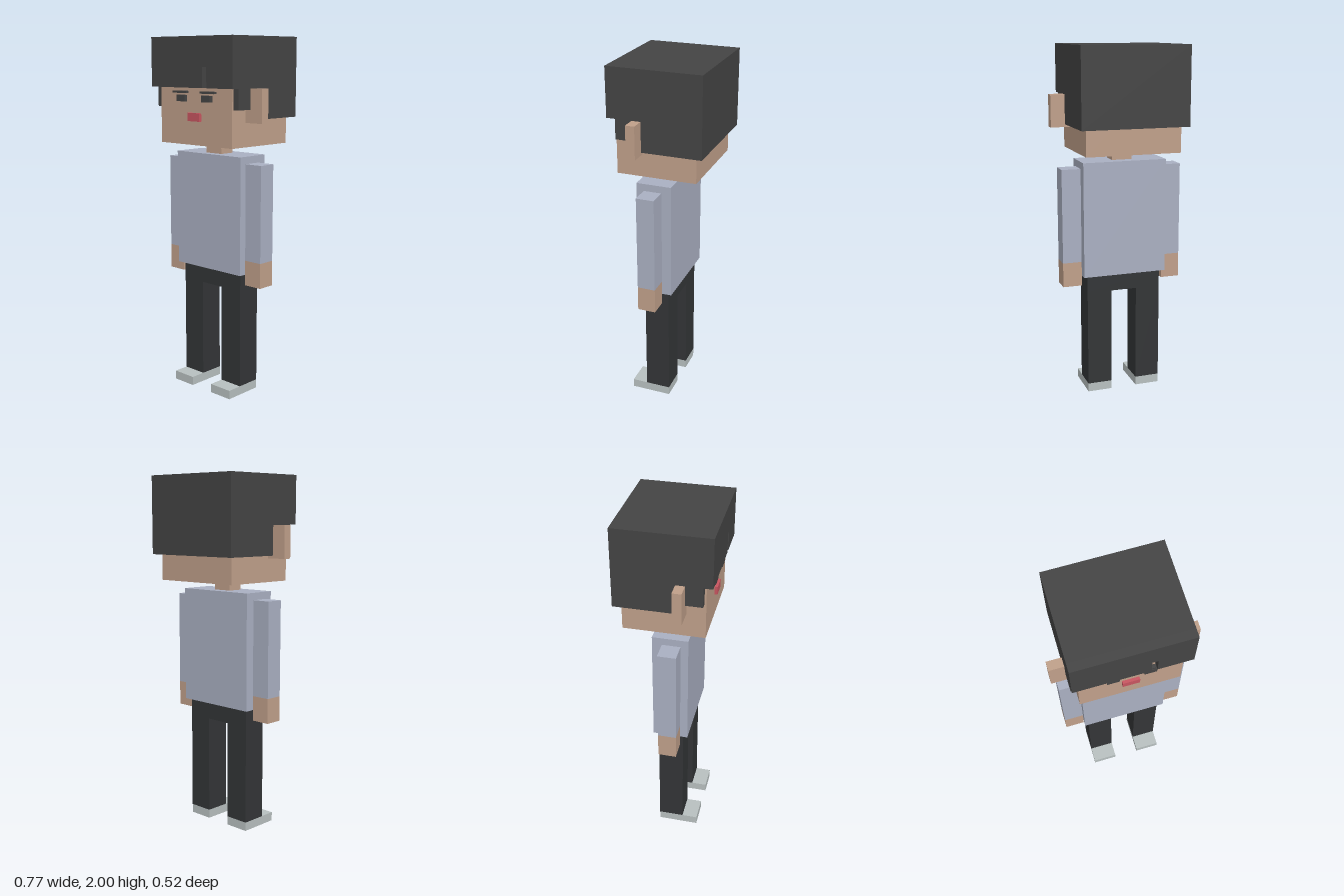
import * as THREE from 'three';

const mat = (color) => new THREE.MeshStandardMaterial({ color, flatShading: true });

export function createModel() {
  const model = new THREE.Group();
  const skin = mat(0xc0a08a), hair = mat(0x444444), shirt = mat(0xaab0c2);
  const trousers = mat(0x333537), shoe = mat(0xb8c0c0), lips = mat(0xc85560);

  const add = (name, geometry, material) => {
    const mesh = new THREE.Mesh(geometry, material);
    mesh.name = name;
    model.add(mesh);
  };
  // Box given by its extents on each axis
  const box = (name, material, [x0, x1], [y0, y1], [z0, z1]) => {
    const g = new THREE.BoxGeometry(x1 - x0, y1 - y0, z1 - z0);
    g.translate((x0 + x1) / 2, (y0 + y1) / 2, (z0 + z1) / 2);
    add(name, g, material);
  };
  // The same box on both sides of the body
  const pair = (name, material, [x0, x1], y, z) => {
    box('left' + name, material, [x0, x1], y, z);
    box('right' + name, material, [-x1, -x0], y, z);
  };
  const extrude = (points, depth) => new THREE.ExtrudeGeometry(
    new THREE.Shape(points.map(([x, y]) => new THREE.Vector2(x, y))),
    { depth, bevelEnabled: false });

  // Head and neck
  box('head', skin, [-0.27, 0.27], [1.42, 1.95], [-0.22, 0.222]);
  box('neck', skin, [-0.057, 0.057], [1.365, 1.42], [-0.01, 0.08]);
  pair('Ear', skin, [0.27, 0.385], [1.55, 1.73], [0.07, 0.12]);

  // Face
  pair('Eye', hair, [0.063, 0.127], [1.655, 1.69], [0.222, 0.242]);
  pair('Eyebrow', hair, [0.053, 0.157], [1.7, 1.712], [0.222, 0.242]);
  box('mouth', lips, [-0.046, 0.044], [1.55, 1.595], [0.222, 0.238]);

  // Hair: stepped side outline (with sideburns) extruded across the head
  const crown = extrude([[0.26, 2], [-0.212, 2], [-0.212, 1.62],
    [-0.07, 1.62], [-0.07, 1.565], [0.26, 1.565]], 0.61);
  crown.rotateY(Math.PI / 2).translate(-0.305, 0, 0);
  add('hairCrown', crown, hair);

  // Fringe with a narrow parting
  const fringe = extrude([[-0.305, 1.73], [0.09, 1.73], [0.09, 1.84], [0.12, 1.84],
    [0.12, 1.73], [0.305, 1.73], [0.305, 2], [-0.305, 2]], 0.048);
  fringe.translate(0, 0, 0.212);
  add('hairFringe', fringe, hair);

  // Torso and arms
  box('torso', shirt, [-0.243, 0.243], [0.71, 1.365], [-0.07, 0.127]);
  pair('Sleeve', shirt, [0.243, 0.352], [0.79, 1.325], [-0.016, 0.085]);
  pair('Hand', skin, [0.243, 0.352], [0.65, 0.79], [-0.016, 0.085]);

  // Hips, legs and shoes
  box('hips', trousers, [-0.218, 0.218], [0.61, 0.71], [-0.045, 0.097]);
  pair('Leg', trousers, [0.075, 0.218], [0.05, 0.61], [-0.045, 0.097]);
  pair('Shoe', shoe, [0.075, 0.218], [0, 0.05], [-0.045, 0.185]);

  return model;
}
